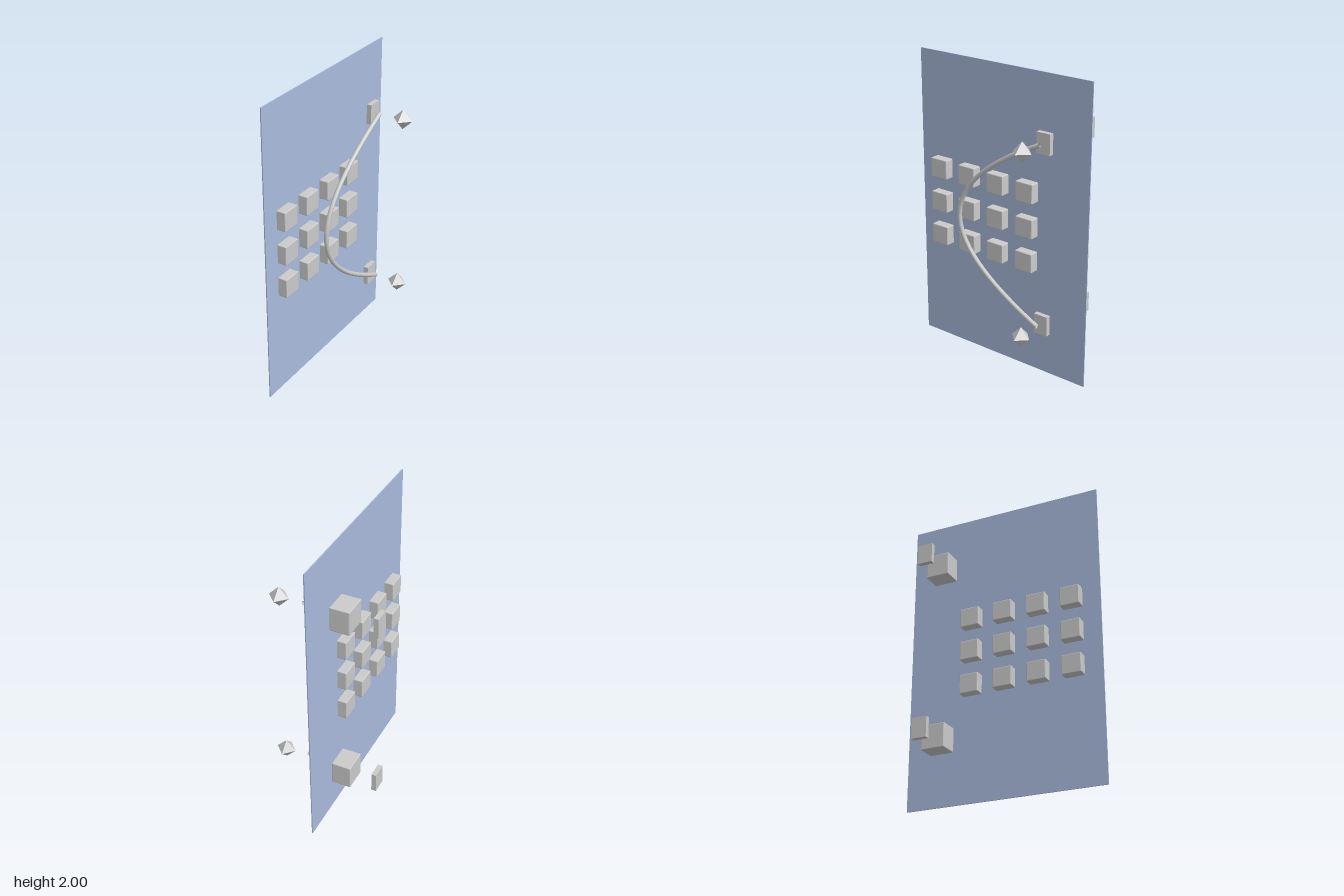
import * as THREE from 'three';
import { RoundedBoxGeometry } from 'three/addons/geometries/RoundedBoxGeometry.js';

export function createModel() {
  const model = new THREE.Group();
  const grey = new THREE.MeshStandardMaterial({ color: 0xcccccc, flatShading: true });
  const smooth = new THREE.MeshStandardMaterial({ color: 0xcccccc, side: THREE.DoubleSide });
  const blue = new THREE.MeshStandardMaterial({ color: 0xaabbdd });

  const add = (name, geometry, material, x, y, z) => {
    const mesh = new THREE.Mesh(geometry, material);
    mesh.name = name;
    mesh.position.set(x, y, z);
    model.add(mesh);
    return mesh;
  };

  // thin upright door panel
  const panelX = -0.018;
  add('doorPanel', new THREE.BoxGeometry(0.0067, 2, 1.333), blue, panelX, 1, 0);

  // grid of bevelled studs passing through the panel
  const stud = new RoundedBoxGeometry(0.13, 0.13, 0.13, 1, 0.005);
  for (let row = 0; row < 3; row++) {
    for (let col = 0; col < 4; col++) {
      add('stud', stud, grey, panelX, 1.003 + (row - 1) * 0.233, -0.219 + col * 0.233);
    }
  }

  // fittings repeated at the upper and lower ends of the handle
  const block = new RoundedBoxGeometry(0.129, 0.16, 0.16, 1, 0.005);
  const plate = new THREE.BoxGeometry(0.032, 0.133, 0.1);
  const knob = new THREE.OctahedronGeometry(0.0667);
  for (const y of [0.403, 1.603]) {
    add('mountBlock', block, grey, -0.136, y, -0.4);
    add('outerPlate', plate, grey, -0.351, y, -0.4);
    add('innerPlate', plate, grey, 0.081, y, -0.4);
    add('knob', knob, grey, 0.297, y, -0.4);
  }

  // bowed handle
  const bow = new THREE.QuadraticBezierCurve3(
    new THREE.Vector3(0, -0.6, -0.4),
    new THREE.Vector3(0, 0, 0.86),
    new THREE.Vector3(0, 0.6, -0.4)
  );
  add('handle', new THREE.TubeGeometry(bow, 32, 0.015, 8), smooth, 0.131, 1.003, 0);

  return model;
}
